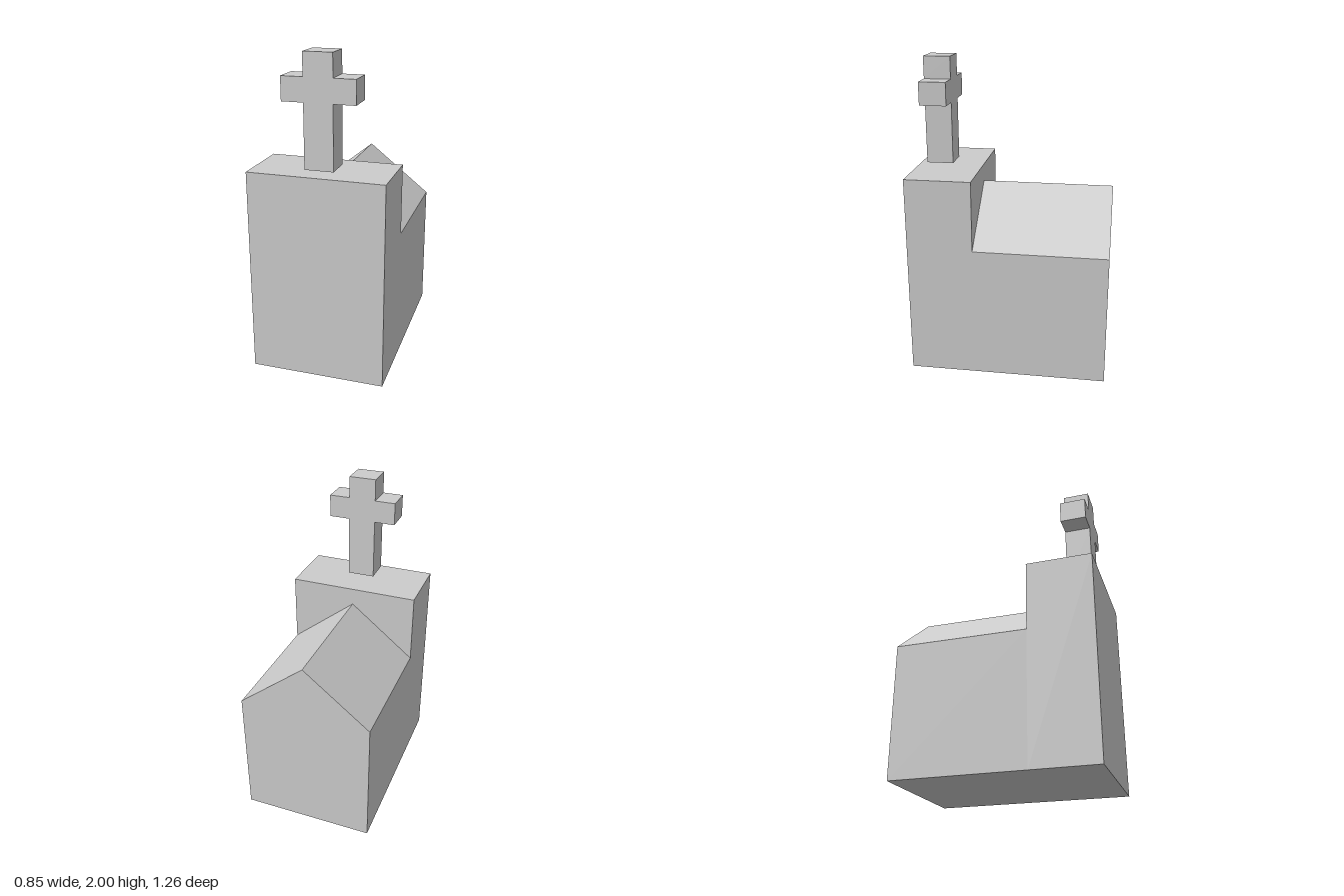
import * as THREE from 'three';

const HALF_WIDTH = 0.423, BACK = -0.632, SPLIT = 0.214, FRONT = 0.632;

// Extrudes an outline in x, y between two z positions
function prism(name, points, z0, z1, material) {
  const shape = new THREE.Shape(points.map(([x, y]) => new THREE.Vector2(x, y)));
  const geometry = new THREE.ExtrudeGeometry(shape, { depth: z1 - z0, bevelEnabled: false });
  geometry.translate(0, 0, z0);
  const mesh = new THREE.Mesh(geometry, material);
  mesh.name = name;
  return mesh;
}

export function createModel() {
  const group = new THREE.Group();
  group.name = 'chapel';
  const material = new THREE.MeshStandardMaterial({ color: 0xcccccc, flatShading: true });
  const w = HALF_WIDTH;

  // Flat-topped front tower
  group.add(prism('tower', [[-w, 0], [w, 0], [w, 1.297], [-w, 1.297]], SPLIT, FRONT, material));

  // Nave with gabled roof
  group.add(prism('nave', [[-w, 0], [w, 0], [w, 0.848], [0, 1.186], [-w, 0.848]], BACK, SPLIT, material));

  // Cross, hovering just above the tower and slightly off centre
  const [armL, postL, postR, armR] = [-0.214, -0.08, 0.097, 0.231];
  const [base, armBottom, armTop, top] = [1.322, 1.715, 1.86, 2];
  group.add(prism('cross', [
    [postL, base], [postR, base], [postR, armBottom], [armR, armBottom],
    [armR, armTop], [postR, armTop], [postR, top], [postL, top],
    [postL, armTop], [armL, armTop], [armL, armBottom], [postL, armBottom],
  ], 0.397, 0.567, material));

  return group;
}
